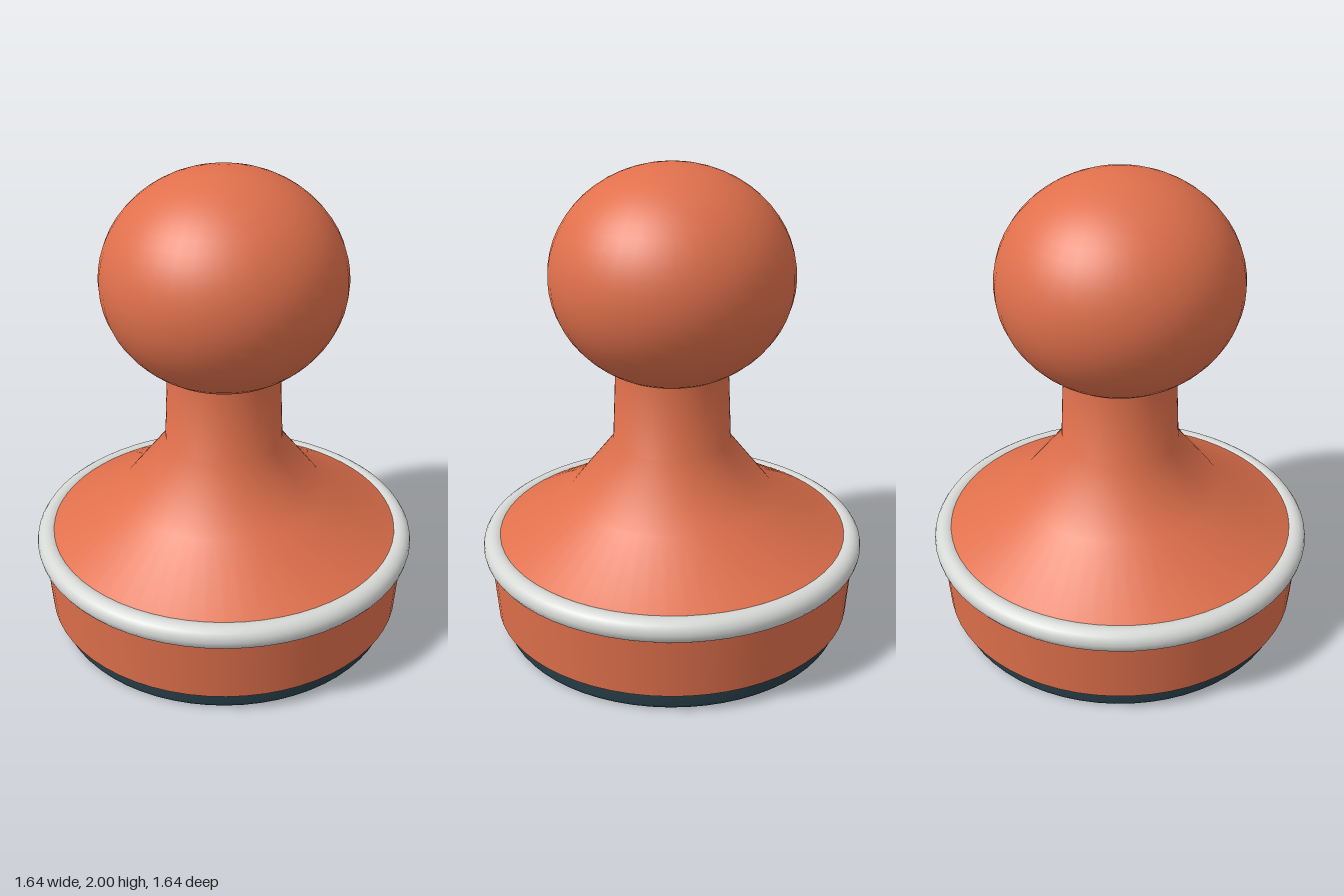
import * as THREE from 'three';

const SEGMENTS = 64;

export function createModel() {
  const model = new THREE.Group();
  model.name = 'knobHandledStand';

  const makeMaterial = (name, color) => {
    const material = new THREE.MeshStandardMaterial({ color });
    material.name = name;
    return material;
  };
  const orange = makeMaterial('terracottaOrange', 0xe0704c);
  const grey = makeMaterial('lightGrey', 0xd6d8d6);
  const dark = makeMaterial('darkTeal', 0x263c46);

  const add = (name, geometry, material) => {
    const mesh = new THREE.Mesh(geometry, material);
    mesh.name = name;
    model.add(mesh);
    return mesh;
  };
  // Profiles run from bottom to top as [radius, height]
  const lathe = (points) =>
    new THREE.LatheGeometry(points.map(([r, y]) => new THREE.Vector2(r, y)), SEGMENTS);

  // Dark pad under the base, with small rounded edges
  const padRadius = 0.738, padTop = 0.09, round = 0.022;
  const pad = [[0, 0]];
  for (let i = 0; i <= 4; i++) {
    const a = (i / 4) * Math.PI / 2;
    pad.push([padRadius - round + round * Math.sin(a), round - round * Math.cos(a)]);
  }
  for (let i = 0; i <= 4; i++) {
    const a = (i / 4) * Math.PI / 2;
    pad.push([padRadius - round + round * Math.cos(a), padTop - round + round * Math.sin(a)]);
  }
  add('basePad', lathe(pad), dark);

  // Slightly flared base wall and its flat underside
  add('baseUnderside', lathe([[0, 0.088], [0.772, 0.088]]), orange);
  add('baseWall', lathe([[0.772, 0.088], [0.793, 0.39]]), orange);

  // Sloping shoulder that narrows into the neck
  add('shoulderAndNeck', lathe([
    [0.79, 0.41], [0.44, 0.605], [0.25, 0.845], [0.236, 1.16],
  ]), orange);

  // Trim ring where the wall meets the shoulder
  const ring = add('trimRing', new THREE.TorusGeometry(0.77, 0.05, 16, SEGMENTS), grey);
  ring.rotation.x = Math.PI / 2;
  ring.position.y = 0.39;

  // Slightly flattened round knob
  const knob = add('knob', new THREE.SphereGeometry(0.5, 40, 28), orange);
  knob.scale.y = 0.9;
  knob.position.y = 1.55;

  return model;
}
